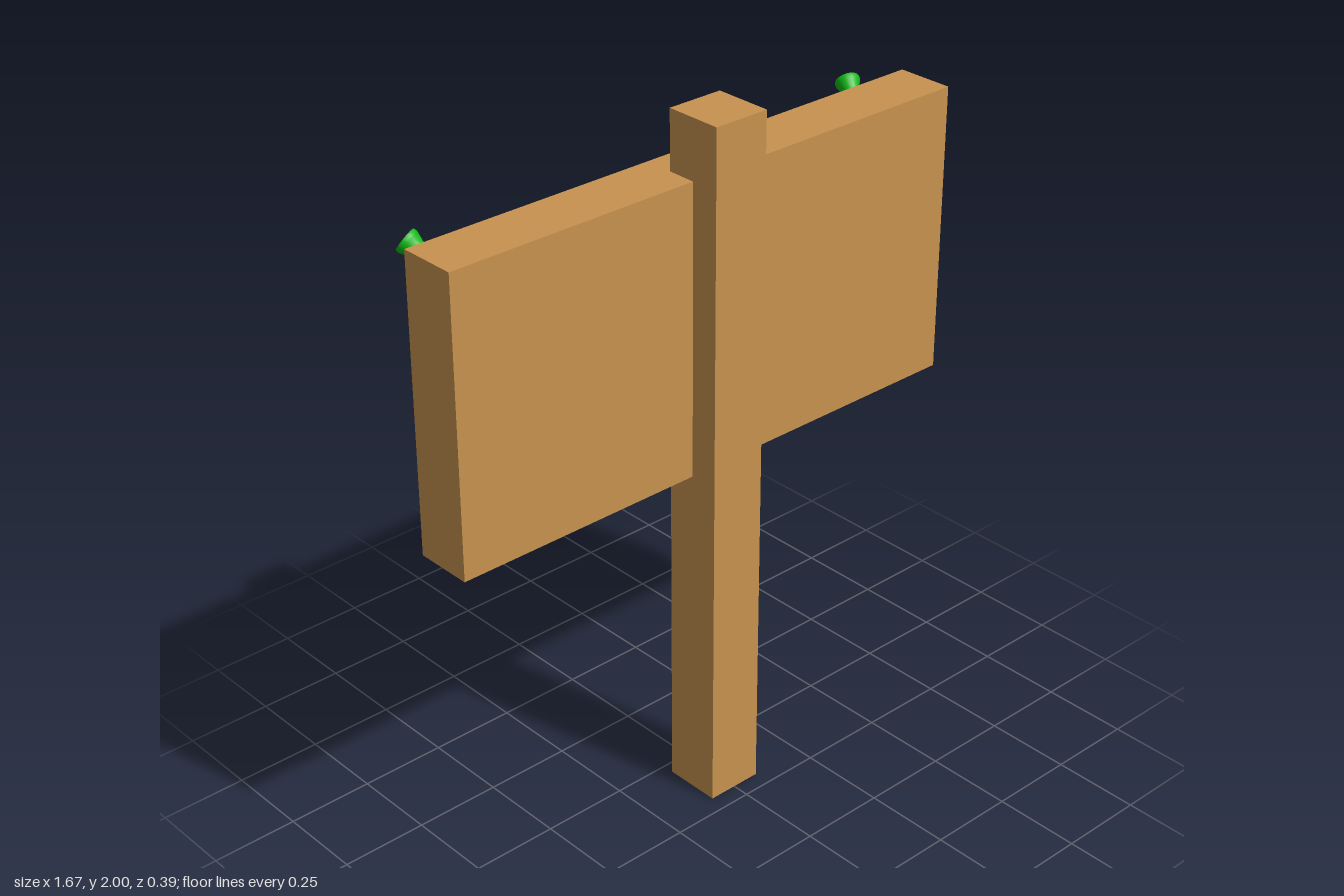
import * as THREE from 'three';

const mat = (name, color) => {
  const m = new THREE.MeshStandardMaterial({ color });
  m.name = name;
  return m;
};

export function createModel() {
  const wood = mat('wood', 0xc6924f);
  const paper = mat('paper grey', 0xcccccc);
  const green = mat('pin green', 0x0fb814);
  const metal = mat('pin metal', 0xc4c4c4);

  const model = new THREE.Group();
  model.name = 'signpost';

  // Box given by its two opposite corners
  const box = (name, material, [x0, y0, z0], [x1, y1, z1]) => {
    const mesh = new THREE.Mesh(new THREE.BoxGeometry(x1 - x0, y1 - y0, z1 - z0), material);
    mesh.position.set((x0 + x1) / 2, (y0 + y1) / 2, (z0 + z1) / 2);
    mesh.name = name;
    model.add(mesh);
  };

  box('post', wood, [-0.083, 0, 0.033], [0.083, 2, 0.2]);
  box('board', wood, [-0.833, 1, -0.05], [0.833, 1.833, 0.117]);
  box('paperSheet', paper, [-0.771, 1.052, -0.053], [0.771, 1.781, -0.049]);

  // Push pin turned around +y, needle tip at the origin
  const lathe = (points) =>
    new THREE.LatheGeometry(points.map(([r, y]) => new THREE.Vector2(r, y)), 20);
  // Separate bands keep the rims crisp
  const bands = [
    [[0, 0.04], [0.046, 0.04]],
    [[0.046, 0.04], [0.048, 0.047], [0.046, 0.056]],
    [[0.046, 0.056], [0.034, 0.072], [0.025, 0.08]],
    [[0.025, 0.08], [0.023, 0.1], [0.025, 0.125], [0.033, 0.146]],
    [[0.033, 0.146], [0.035, 0.152], [0.033, 0.16]],
    [[0.033, 0.16], [0, 0.163]],
  ];
  const up = new THREE.Vector3(0, 1, 0);
  const addPin = (name, x, direction) => {
    const pin = new THREE.Group();
    pin.name = name;
    for (const band of bands) {
      const part = new THREE.Mesh(lathe(band), green);
      part.name = 'pinHandle';
      pin.add(part);
    }
    const needle = new THREE.Mesh(lathe([[0, -0.012], [0.006, 0.006], [0.006, 0.042]]), metal);
    needle.name = 'pinNeedle';
    pin.add(needle);
    pin.position.set(x, 1.7, -0.05);
    pin.quaternion.setFromUnitVectors(up, direction.normalize());
    model.add(pin);
  };
  addPin('rightPin', -0.685, new THREE.Vector3(-0.065, 0.095, -0.122));
  addPin('leftPin', 0.693, new THREE.Vector3(0.052, 0.095, -0.122));

  return model;
}
